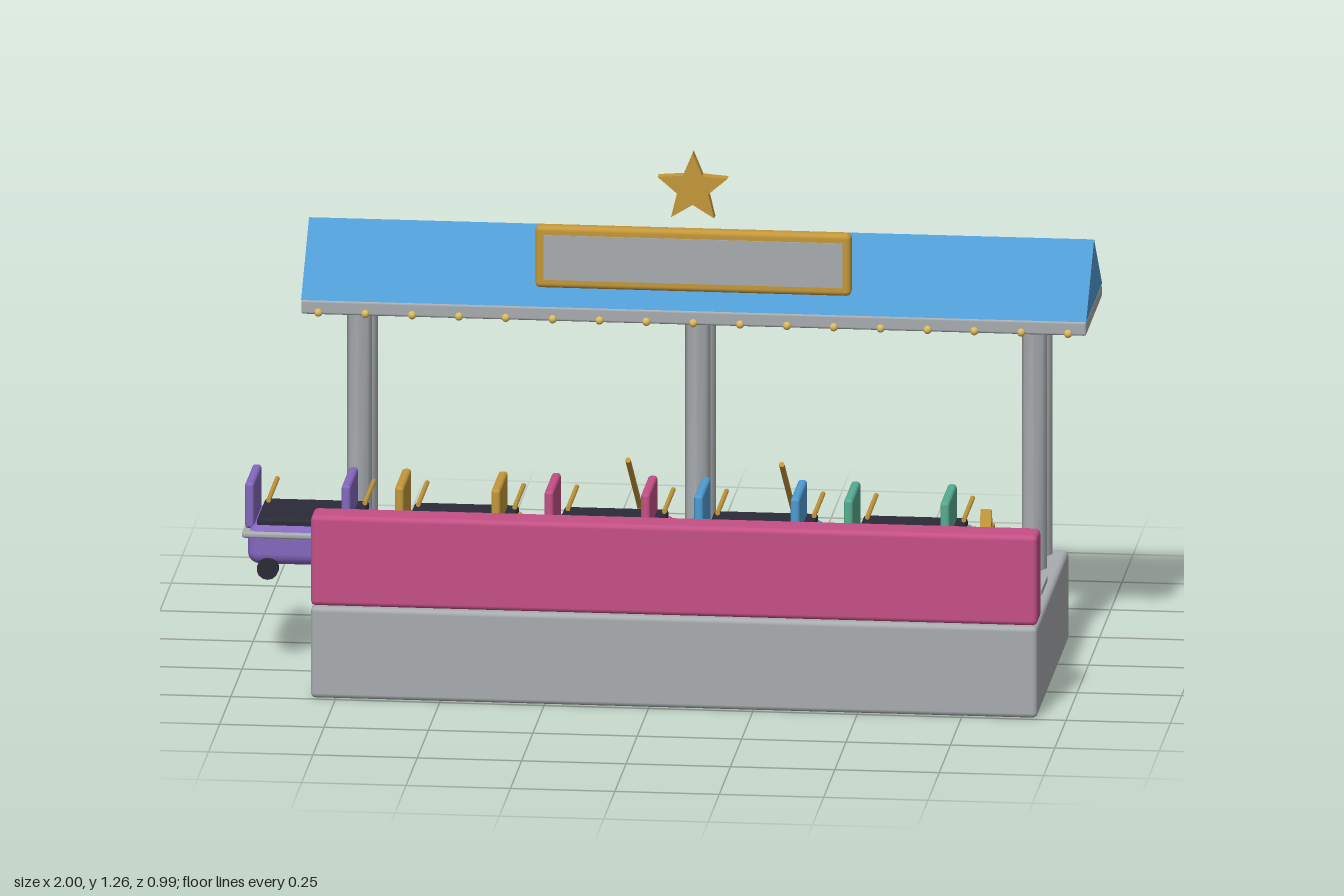
import * as THREE from 'three';
import { RoundedBoxGeometry } from 'three/addons/geometries/RoundedBoxGeometry.js';

const mat = (name, color) => {
  const m = new THREE.MeshStandardMaterial({ color });
  m.name = name;
  return m;
};

export function createModel() {
  const model = new THREE.Group();
  model.name = 'trainRideStation';

  const grey = mat('grey', 0xa8acaf);
  const pink = mat('pink', 0xc55086);
  const blue = mat('blue', 0x4f9bd3);
  const gold = mat('gold', 0xc4983a);
  const purple = mat('purple', 0x8468be);
  const teal = mat('teal', 0x58ab92);
  const dark = mat('dark', 0x2b2b38);
  const bulbYellow = mat('bulbYellow', 0xdcbc62);

  const add = (parent, name, geometry, material, x = 0, y = 0, z = 0) => {
    const mesh = new THREE.Mesh(geometry, material);
    mesh.name = name;
    mesh.position.set(x, y, z);
    parent.add(mesh);
    return mesh;
  };

  // Softened box given by its min and max on each axis
  const box = (parent, name, material, [x0, x1], [y0, y1], [z0, z1], r = 0.01, seg = 2) =>
    add(parent, name, new RoundedBoxGeometry(x1 - x0, y1 - y0, z1 - z0, seg, r), material,
      (x0 + x1) / 2, (y0 + y1) / 2, (z0 + z1) / 2);

  // Round bar between two points
  const bar = (parent, name, material, a, b, r) => {
    const from = new THREE.Vector3(...a), to = new THREE.Vector3(...b);
    const dir = to.clone().sub(from);
    const mesh = add(parent, name, new THREE.CylinderGeometry(r, r, dir.length(), 8), material);
    mesh.position.copy(from).add(to).multiplyScalar(0.5);
    mesh.quaternion.setFromUnitVectors(new THREE.Vector3(0, 1, 0), dir.normalize());
    return mesh;
  };

  // Five-pointed star, centred in its thickness
  const starGeometry = (radius, depth) => {
    const shape = new THREE.Shape();
    for (let i = 0; i < 10; i++) {
      const r = i % 2 ? radius * 0.45 : radius;
      const a = Math.PI / 2 + i * Math.PI / 5;
      shape[i ? 'lineTo' : 'moveTo'](r * Math.cos(a), r * Math.sin(a));
    }
    shape.closePath();
    return new THREE.ExtrudeGeometry(shape, { depth, bevelEnabled: false }).translate(0, 0, -depth / 2);
  };

  // Platform, front wall and track
  box(model, 'platform', grey, [-0.81, 0.93], [0, 0.225], [-0.216, 0.495], 0.012);
  box(model, 'frontWall', pink, [-0.81, 0.93], [0.228, 0.45], [0.41, 0.495], 0.012);
  add(model, 'track', new THREE.BoxGeometry(1.71, 0.014, 0.135), grey, 0.055, 0.231, 0.138);

  // Columns
  const columnGeometry = new THREE.CylinderGeometry(0.03, 0.03, 0.61, 8);
  columnGeometry.computeVertexNormals();
  for (const x of [-0.75, 0.06, 0.866])
    for (const z of [-0.043, -0.173]) add(model, 'column', columnGeometry, grey, x, 0.525, z);

  // Roof slab and gable
  box(model, 'roofSlab', grey, [-0.88, 1], [0.825, 0.86], [-0.306, 0.05], 0.006);
  const gable = new THREE.Shape();
  gable.moveTo(-0.178, 0);
  gable.lineTo(0.178, 0);
  gable.lineTo(0, 0.156);
  gable.closePath();
  const roof = add(model, 'roof',
    new THREE.ExtrudeGeometry(gable, { depth: 1.88, bevelEnabled: false }), blue, -0.88, 0.86, -0.128);
  roof.rotation.y = Math.PI / 2;

  // Bulbs along the eave
  const bulbGeometry = new THREE.SphereGeometry(0.01, 10, 8);
  for (let i = 0; i < 17; i++)
    add(model, 'bulb', bulbGeometry, bulbYellow, -0.838 + i * 0.1122, 0.832, 0.056);

  // Blank sign and star above it
  box(model, 'signFrame', gold, [-0.318, 0.438], [0.91, 1.063], [0.03, 0.066], 0.012);
  add(model, 'signPanel', new THREE.BoxGeometry(0.716, 0.11, 0.006), grey, 0.06, 0.987, 0.066);
  add(model, 'roofStar', starGeometry(0.088, 0.027), gold, 0.06, 1.168, 0.06);

  // Back steps with handrails
  const steps = [[0.167, -0.22], [0.11, -0.31], [0.055, -0.4]];
  for (const [h, z] of steps)
    box(model, 'step', grey, [-0.12, 0.235], [0, h], [z - 0.086, z], 0.006);
  for (const x of [-0.126, 0.242]) {
    const rail = new THREE.Group();
    rail.name = 'handrail';
    model.add(rail);
    bar(rail, 'slopingRail', gold, [x, 0.413, -0.22], [x, 0.226, -0.486], 0.007);
    bar(rail, 'railPost', gold, [x, 0, -0.486], [x, 0.229, -0.486], 0.007);
  }

  // One car, built around its own centre
  const wheelGeometry = new THREE.CylinderGeometry(0.026, 0.026, 0.02, 14).rotateX(Math.PI / 2);
  const makeCar = (color) => {
    const car = new THREE.Group();
    car.name = 'car';
    box(car, 'carBody', color, [-0.147, 0.147], [0.256, 0.354], [-0.115, 0.115], 0.03, 3);
    box(car, 'bumper', grey, [-0.158, 0.158], [0.325, 0.34], [-0.12, 0.12], 0.006);
    box(car, 'seat', dark, [-0.125, 0.125], [0.34, 0.368], [-0.095, 0.095], 0.008);
    for (const [back, lap] of [[-0.143, -0.096], [0.088, 0.135]]) {
      box(car, 'backrest', color, [back - 0.011, back + 0.011], [0.34, 0.453], [-0.088, 0.088], 0.008);
      bar(car, 'lapBar', gold, [lap, 0.415, -0.1], [lap, 0.415, 0.1], 0.006);
    }
    for (const x of [-0.096, 0.096])
      for (const z of [-0.113, 0.113]) add(car, 'wheel', wheelGeometry, dark, x, 0.251, z);
    return car;
  };

  // Train, with a star on the leading car
  const train = new THREE.Group();
  train.name = 'train';
  model.add(train);
  [purple, gold, pink, blue, teal].forEach((color, i) => {
    const car = makeCar(color);
    car.position.set(-0.842 + i * 0.3585, 0, 0.138);
    train.add(car);
  });
  const noseStar = add(train, 'noseStar', starGeometry(0.08, 0.027), gold, 0.77, 0.336, 0.138);
  noseStar.rotation.y = Math.PI / 2;

  return model;
}
